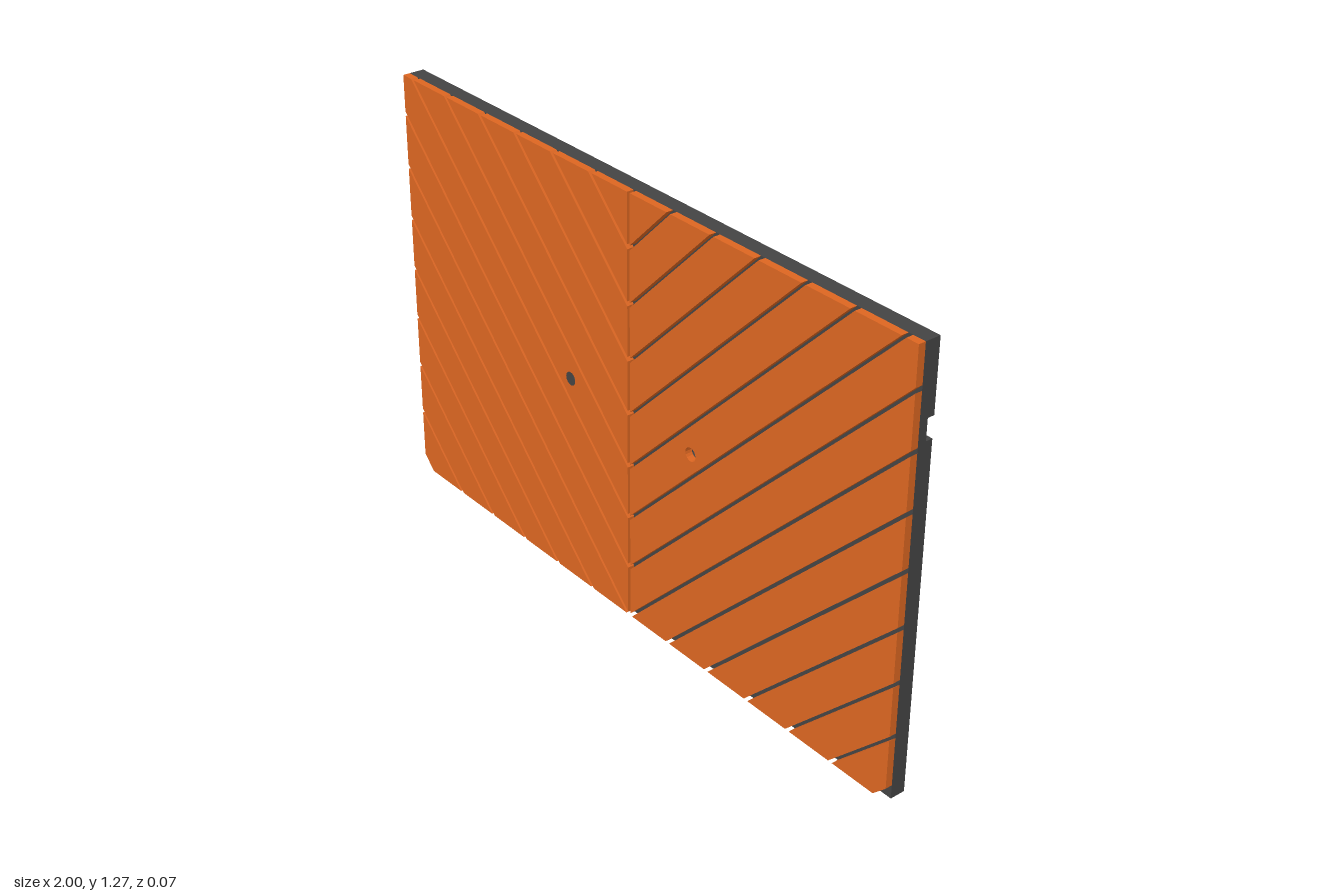
import * as THREE from 'three';

const H = 1.27, BACK = -0.033, MID = 0.012, FRONT = 0.033;
const orange = new THREE.MeshStandardMaterial({ color: 0xdc6621 });
const dark = new THREE.MeshStandardMaterial({ color: 0x444444 });

const toShape = pts => new THREE.Shape(pts.map(p => new THREE.Vector2(p[0], p[1])));
const rect = (x, y, w, h) => [[x - w / 2, y - h / 2], [x + w / 2, y - h / 2], [x + w / 2, y + h / 2], [x - w / 2, y + h / 2]];
const extrude = (shape, depth) => new THREE.ExtrudeGeometry(shape, { depth, bevelEnabled: false, curveSegments: 8 });
const addHole = (shape, x, y, r) => shape.holes.push(new THREE.Path().absarc(x, y, r, 0, Math.PI * 2, true));

// Keep the part of a polygon where f(point) >= 0
function clip(pts, f) {
  const out = [];
  pts.forEach((a, i) => {
    const b = pts[(i + 1) % pts.length], fa = f(a), fb = f(b);
    if (fa >= 0) out.push(a);
    if (fa * fb < 0) {
      const t = fa / (fa - fb);
      out.push([a[0] + (b[0] - a[0]) * t, a[1] + (b[1] - a[1]) * t]);
    }
  });
  return out;
}

export function createModel() {
  const group = new THREE.Group();
  const add = (name, geometry, material, z = 0) => {
    const mesh = new THREE.Mesh(geometry, material);
    mesh.name = name;
    mesh.position.z = z;
    group.add(mesh);
    return mesh;
  };

  // Diagonal slats, mirrored about the centre seam
  const pitch = 0.16, gap = 0.005;
  for (const s of [1, -1]) {
    for (let k = -7; k <= 7; k++) {
      const lo = 0.155 + k * pitch + gap * 1.4, hi = 0.155 + (k + 1) * pitch - gap * 1.4;
      let pts = [[gap, 0], [1, 0], [1, H], [gap, H]];
      pts = clip(pts, p => p[1] - p[0] - lo);
      pts = clip(pts, p => hi - p[1] + p[0]);
      if (pts.length < 3) continue;
      const shape = toShape(pts.map(p => [p[0] * s, p[1]]));
      if (k === 1) addHole(shape, 0.25 * s, 0.635, 0.02);
      add('slat', extrude(shape, FRONT - MID), orange, MID);
    }
  }

  // Backing sheet with two round holes
  const sheet = toShape(rect(0, H / 2, 2, H));
  for (const s of [1, -1]) addHole(sheet, 0.25 * s, 0.635, 0.02);
  add('backingSheet', extrude(sheet, MID), dark);

  // Back layer: channels open at the bottom, notched sides
  const wide = [-0.75, -0.5, -0.25, 0, 0.25, 0.5, 0.75], top = 1.22;
  const channels = [...wide.map(c => [c, 0.065]), ...[-0.86, -0.14, 0.14, 0.86].map(c => [c, 0.025])]
    .sort((a, b) => a[0] - b[0]);
  const outline = [[-1, 0]];
  for (const [c, w] of channels) outline.push([c - w, 0], [c - w, top], [c + w, top], [c + w, 0]);
  outline.push([1, 0], [1, 1.01], [0.9, 1.01], [0.9, 1.07], [1, 1.07], [1, H],
    [-1, H], [-1, 1.07], [-0.9, 1.07], [-0.9, 1.01], [-1, 1.01]);
  const back = toShape(outline);
  const pocket = pts => back.holes.push(new THREE.Path(pts.map(p => new THREE.Vector2(p[0], p[1]))));
  for (const s of [1, -1]) {
    // Keyhole slots, wide at the top
    for (const x of [0.345, 0.655]) for (const y of [0.14, 1.146]) {
      const kx = x * s;
      pocket([[kx - 0.008, y - 0.055], [kx + 0.008, y - 0.055], [kx + 0.008, y], [kx + 0.017, y],
        [kx + 0.017, y + 0.055], [kx - 0.017, y + 0.055], [kx - 0.017, y], [kx - 0.008, y]]);
    }
    // Small stacked pockets and corner slots
    pocket(rect(0.6 * s, 1.185, 0.026, 0.03));
    pocket(rect(0.6 * s, 1.135, 0.026, 0.035));
    pocket(rect(0.955 * s, 1.155, 0.025, 0.13));
    pocket(rect(0.912 * s, 1.2, 0.018, 0.04));
    pocket(rect(0.912 * s, 1.13, 0.022, 0.06));
  }
  add('ribbedBack', extrude(back, -BACK), dark, BACK);

  // Floors of the side notches
  for (const s of [1, -1]) {
    const floor = add('sideNotchFloor', new THREE.BoxGeometry(0.1, 0.06, 0.013), dark, -0.0065);
    floor.position.set(0.95 * s, 1.04, -0.0065);
  }

  // Sloped sides and upper ends of the wide channels
  for (const c of wide) {
    for (const s of [1, -1]) {
      const side = extrude(toShape([[c + s * 0.065, -BACK], [c + s * 0.065, 0], [c + s * 0.03, 0]]), top);
      add('channelSlope', side.rotateX(-Math.PI / 2), dark);
    }
    const end = extrude(toShape([[-BACK, top], [0, top], [0, top - 0.03]]), 0.13);
    add('channelEnd', end.rotateY(Math.PI / 2).translate(c - 0.065, 0, 0), dark);
  }

  // Square collars round the holes
  for (const s of [1, -1]) {
    const collar = toShape(rect(0.25 * s, 0.635, 0.064, 0.064));
    addHole(collar, 0.25 * s, 0.635, 0.02);
    add('holeCollar', extrude(collar, 0.008), dark, -0.008);
  }
  return group;
}
